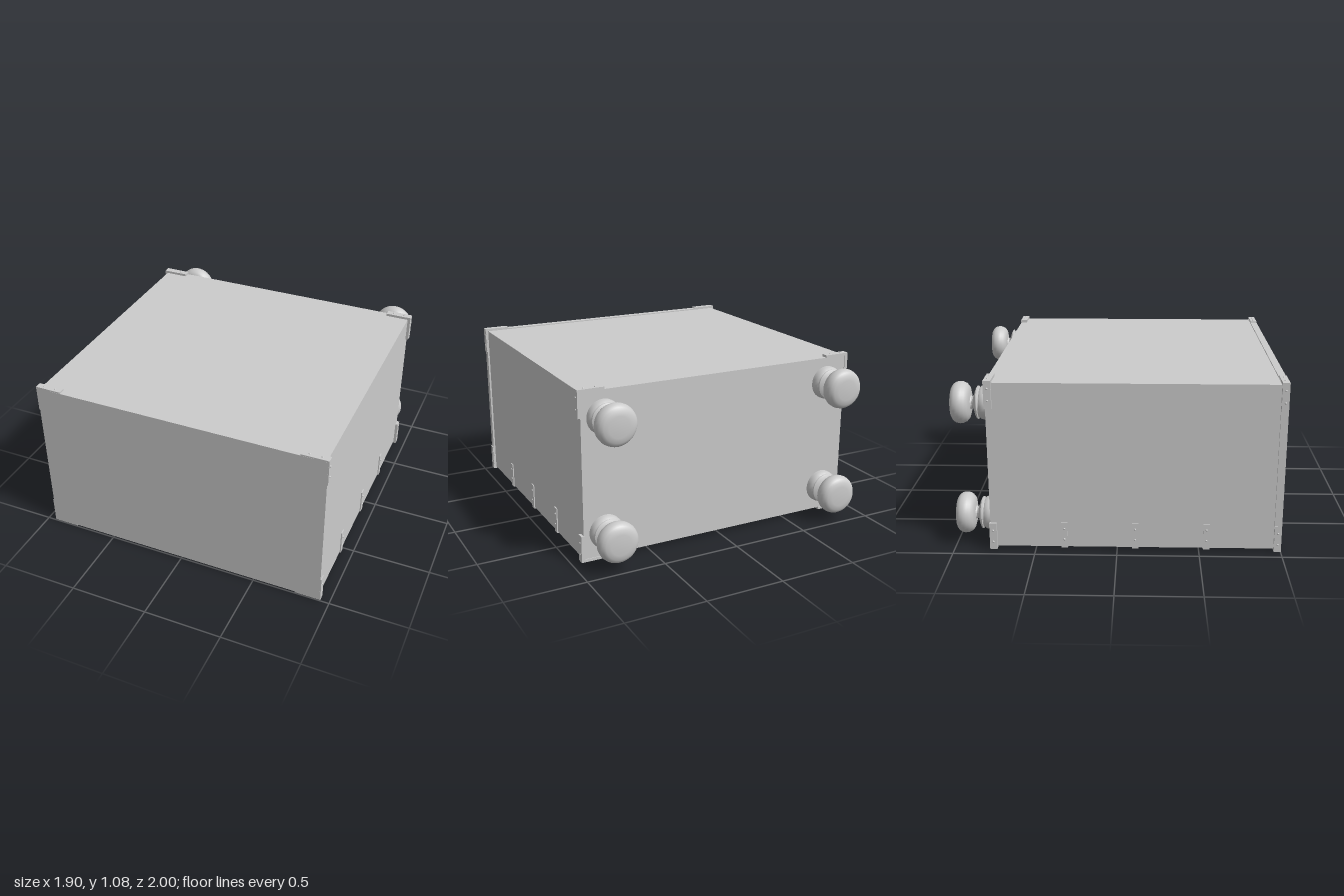
import * as THREE from 'three';
import { toCreasedNormals } from 'three/addons/utils/BufferGeometryUtils.js';

const material = new THREE.MeshStandardMaterial({ color: 0xcccccc });

function add(parent, name, geometry, x = 0, y = 0, z = 0) {
  const mesh = new THREE.Mesh(geometry, material);
  mesh.name = name;
  mesh.position.set(x, y, z);
  parent.add(mesh);
  return mesh;
}

// Box given by its two extremes on each axis
function block(parent, name, x0, x1, y0, y1, z0, z1) {
  return add(parent, name, new THREE.BoxGeometry(Math.abs(x1 - x0), Math.abs(y1 - y0), Math.abs(z1 - z0)),
    (x0 + x1) / 2, (y0 + y1) / 2, (z0 + z1) / 2);
}

function rect(Type, x0, x1, z0, z1) {
  return new Type([[x0, z0], [x1, z0], [x1, z1], [x0, z1]].map(p => new THREE.Vector2(...p)));
}

// Flat plate with rectangular openings, lying in xz and reaching from yTop down to yBottom
function pierced(parent, name, outer, holes, yTop, yBottom) {
  const shape = rect(THREE.Shape, ...outer);
  holes.forEach(h => shape.holes.push(rect(THREE.Path, ...h)));
  const geometry = new THREE.ExtrudeGeometry(shape, { depth: yTop - yBottom, bevelEnabled: false });
  geometry.rotateX(Math.PI / 2);
  return add(parent, name, geometry, 0, yTop, 0);
}

const inset = ([x0, x1, z0, z1], d) => [x0 + d, x1 - d, z0 + d, z1 - d];

function rivet(parent, x, y, z) {
  add(parent, 'rivet', new THREE.SphereGeometry(0.007, 10, 8), x, y, z);
}

// Drawer openings on the face that lies downward: x0, x1, z0, z1
const drawers = [
  [-0.885, 0.885, -0.735, -0.34],
  [-0.885, 0.885, -0.305, 0.09],
  [-0.885, 0.885, 0.13, 0.525],
  [-0.465, 0.465, 0.565, 0.935],
];
for (const [x0, x1] of [[-0.885, -0.495], [0.495, 0.885]])
  for (const [z0, z1] of [[0.565, 0.74], [0.76, 0.935]]) drawers.push([x0, x1, z0, z1]);

// Sunken pull: plate with opening, and a bar across it
function pull(parent, x, z, small) {
  const group = new THREE.Group();
  group.name = 'drawerPull';
  group.position.set(x, 0, z);
  const w = small ? 0.05 : 0.105, d = small ? 0.038 : 0.05;
  const hw = small ? 0.024 : 0.07, hd = small ? 0.02 : 0.026;
  pierced(group, 'pullPlate', [-w, w, -d, d], [[-hw, hw, -hd, hd]], 0.03, 0.016);
  if (small) {
    const ring = add(group, 'ringPull', new THREE.TorusGeometry(0.014, 0.004, 8, 20), 0, 0.018, 0);
    ring.rotation.x = Math.PI / 2;
  } else {
    block(group, 'pullBar', -hw, hw, 0.014, 0.022, -0.008, 0.008);
  }
  parent.add(group);
}

function drawer(parent, opening) {
  const group = new THREE.Group();
  group.name = 'drawer';
  const edge = inset(opening, 0.007);
  const [x0, x1, z0, z1] = edge;
  block(group, 'drawerPanel', x0, x1, 0.024, 0.045, z0, z1);
  pierced(group, 'drawerBead', edge, [inset(edge, 0.013)], 0.04, 0.016);
  const width = x1 - x0, z = (z0 + z1) / 2;
  const spots = width > 1 ? [-0.475, 0.475] : [(x0 + x1) / 2];
  spots.forEach(x => pull(group, x, z, width < 0.5));
  parent.add(group);
}

// Corner bracket: one leaf along x, one along the side
function bracket(parent, sx, top, z0, z1) {
  const group = new THREE.Group();
  group.name = 'cornerBracket';
  const outerY = top ? 1.076 : 0.005;
  const into = top ? -1 : 1;
  const z = (z0 + z1) / 2;
  block(group, 'flatLeaf', sx * 0.775, sx * 0.943, outerY, outerY + into * 0.018, z0, z1);
  block(group, 'sideLeaf', sx * 0.922, sx * 0.943, outerY, outerY + into * 0.17, z0, z1);
  for (const d of [0.048, 0.122]) {
    rivet(group, sx * (0.943 - d), outerY - into * -0.001, z);
    rivet(group, sx * 0.942, outerY + into * d, z);
  }
  parent.add(group);
}

// Turned bun foot, profile as radius and distance from the carcase
const footProfile = [
  [0, 0], [0.106, 0], [0.106, 0.02], [0.1, 0.042], [0.092, 0.05], [0.092, 0.056],
  [0.101, 0.06], [0.099, 0.067], [0.085, 0.075], [0.06, 0.083], [0.04, 0.091],
  [0.036, 0.1], [0.042, 0.108], [0.075, 0.111], [0.1, 0.118], [0.117, 0.133],
  [0.126, 0.153], [0.128, 0.172], [0.124, 0.192], [0.113, 0.209], [0.095, 0.22],
  [0.065, 0.225], [0, 0.225],
].map(p => new THREE.Vector2(...p));

export function createModel() {
  const model = new THREE.Group();
  model.name = 'chestOfDrawers';

  // Carcase, face frame and top board
  block(model, 'carcase', -0.925, 0.925, 0.04, 1.06, -0.775, 0.956);
  pierced(model, 'faceFrame', [-0.925, 0.925, -0.775, 0.956], drawers, 0.04, 0.02);
  block(model, 'topBoard', -0.937, 0.937, 0.013, 1.067, 0.955, 1);

  drawers.forEach(opening => drawer(model, opening));

  // Corner brackets on the top board and at the foot end
  for (const sx of [-1, 1]) {
    for (const top of [true, false]) {
      bracket(model, sx, top, 0.956, 0.9995);
      bracket(model, sx, top, -0.78, -0.735);
    }
  }

  // Straps at the drawer dividers, wrapping the front edge
  for (const sx of [-1, 1]) {
    for (const z of [-0.322, 0.11, 0.545]) {
      const strap = new THREE.Group();
      strap.name = 'sideStrap';
      block(strap, 'strapSide', sx * 0.92, sx * 0.932, 0.013, 0.18, z - 0.02, z + 0.02);
      block(strap, 'strapReturn', sx * 0.89, sx * 0.932, 0.013, 0.025, z - 0.02, z + 0.02);
      for (const y of [0.07, 0.14]) rivet(strap, sx * 0.932, y, z);
      model.add(strap);
    }
  }

  // Four bun feet
  const footGeometry = toCreasedNormals(new THREE.LatheGeometry(footProfile, 40), 0.7);
  for (const x of [-0.782, 0.782]) {
    for (const y of [0.18, 0.898]) {
      add(model, 'bunFoot', footGeometry, x, y, -0.775).rotation.x = -Math.PI / 2;
    }
  }
  return model;
}
